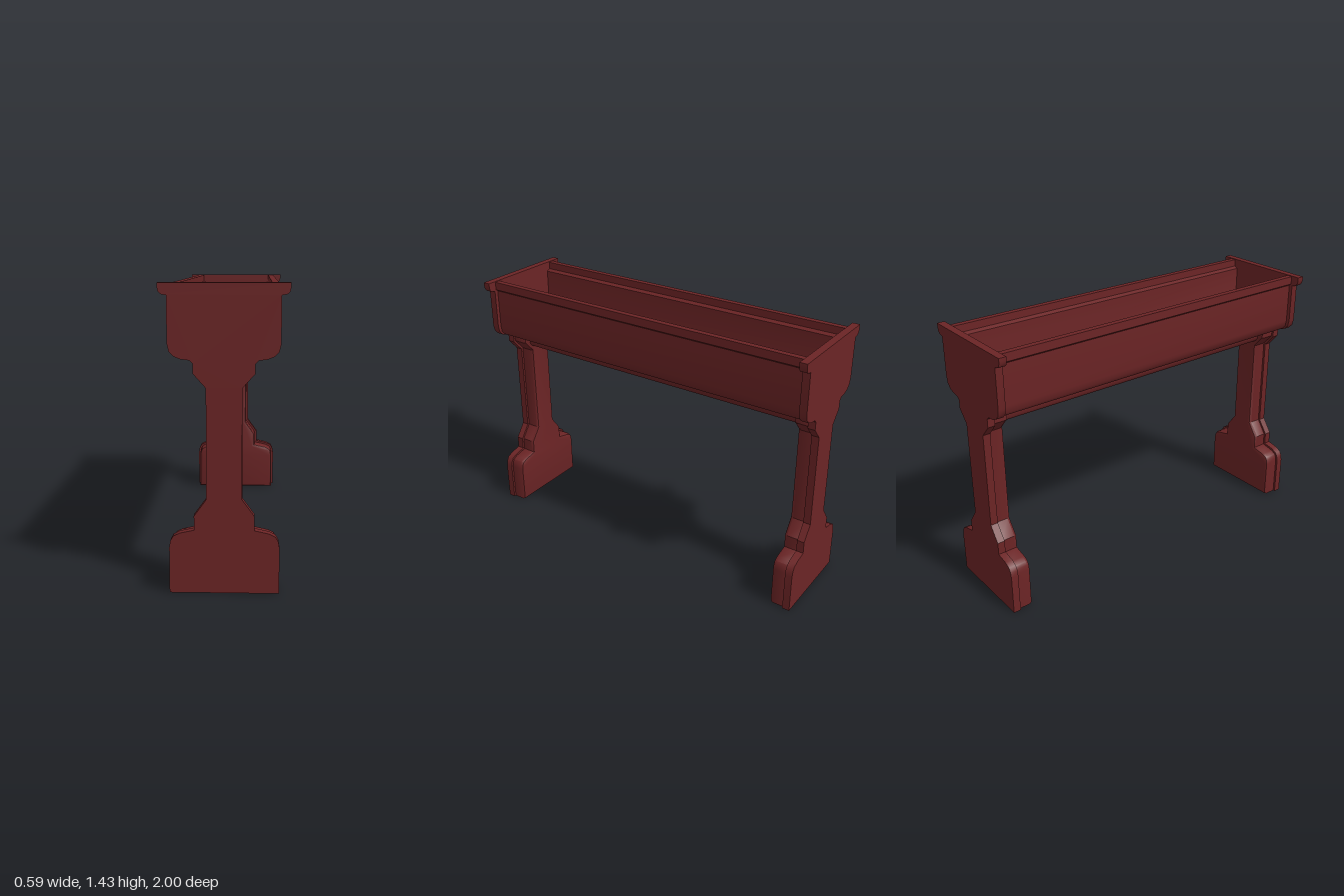
import * as THREE from 'three';
import { toCreasedNormals } from 'three/addons/utils/BufferGeometryUtils.js';

const paint = new THREE.MeshStandardMaterial({ color: 0x6b2425 });
paint.name = 'dark red paint';

// Closed shape from the right half of a symmetric outline, listed bottom to top
function mirrored(half) {
  const left = half.map(([x, y]) => [-x, y]).reverse();
  return new THREE.Shape([...half, ...left].map(([x, y]) => new THREE.Vector2(x, y)));
}

function extrude(name, shape, z0, z1, bevel = 0, offset = 0) {
  const geo = new THREE.ExtrudeGeometry(shape, {
    depth: z1 - z0 - 2 * bevel, bevelEnabled: bevel > 0, bevelSize: bevel,
    bevelThickness: bevel, bevelOffset: offset - bevel, bevelSegments: 2,
  });
  geo.translate(0, 0, z0 + bevel);
  const mesh = new THREE.Mesh(toCreasedNormals(geo, 0.6), paint);
  mesh.name = name;
  return mesh;
}

function box(name, w, h, d, x, y, z) {
  const mesh = new THREE.Mesh(new THREE.BoxGeometry(w, h, d), paint);
  mesh.name = name;
  mesh.position.set(x, y, z);
  return mesh;
}

// Foot, column and flared head shared by the end plate and the rear of the leg
const foot = [[0.255, 0.22], [0.25, 0.25], [0.237, 0.273], [0.205, 0.289], [0.14, 0.303]];
const column = [[0.14, 0.37], [0.082, 0.45], [0.082, 0.965], [0.14, 1.03]];
const head = [[0.14, 1.075], [0.155, 1.09], [0.195, 1.095], [0.225, 1.107], [0.247, 1.13], [0.255, 1.165],
  [0.255, 1.378], [0.28, 1.383], [0.292, 1.395], [0.296, 1.415], [0.296, 1.434]];

function makeEnd() {
  const end = new THREE.Group();
  end.add(extrude('endPlate', mirrored([[0.255, 0], ...foot, ...column, ...head]), 0.96, 1));
  // Inner half of the leg, slightly inset with softened edges
  const inner = mirrored([[0.255, -0.012], ...foot, ...column, [0.14, 1.15]]);
  end.add(extrude('legCore', inner, 0.878, 0.985, 0.018, -0.012));
  return end;
}

export function createModel() {
  const model = new THREE.Group();
  model.name = 'trough';

  // Two mirrored ends
  for (const side of ['front', 'back']) {
    const end = makeEnd();
    end.name = side + 'End';
    if (side === 'back') end.rotation.y = Math.PI;
    model.add(end);
  }

  // Open basin: outside up to the rim lip, then down the inside
  const basin = mirrored([[0.18, 1.097], [0.21, 1.105], [0.228, 1.125], [0.234, 1.16],
    [0.234, 1.376], [0.246, 1.386], [0.246, 1.43], [0.214, 1.43], [0.214, 1.39], [0.192, 1.38],
    [0.192, 1.2], [0.185, 1.165], [0.165, 1.145], [0.13, 1.138]]);
  model.add(extrude('basin', basin, -0.965, 0.965));

  // Stretcher beam under the basin
  const beam = mirrored([[0.055, 1.0], [0.075, 1.006], [0.088, 1.022], [0.092, 1.045], [0.092, 1.11]]);
  model.add(extrude('stretcher', beam, -0.92, 0.92));

  // Low floor panels and centre block
  model.add(box('backFloorPanel', 0.15, 0.012, 0.85, 0, 1.142, -0.495));
  for (const x of [-0.09, 0.058]) model.add(box('floorRib', 0.035, 0.02, 0.86, x, 1.144, 0.49));
  model.add(box('centreBlock', 0.08, 0.03, 0.15, 0, 1.146, -0.005));

  return model;
}
